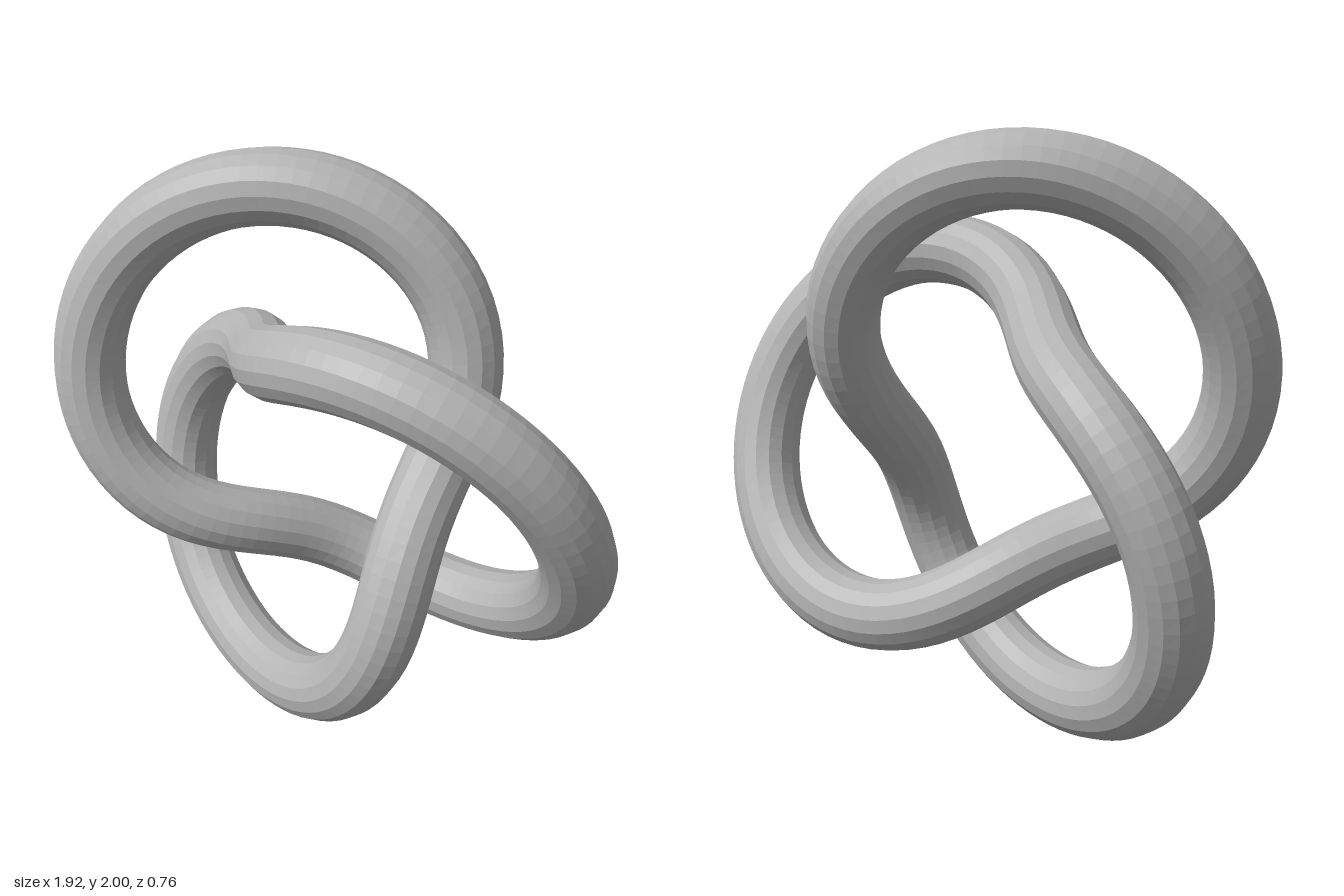
import * as THREE from 'three';

const RING = 0.665;   // radius of the guiding torus
const SWING = 0.266;  // how far the strand swings around it
const TUBE = 0.118;   // strand thickness

// Trefoil path: two turns around the axis, three around the ring
class TrefoilCurve extends THREE.Curve {
  getPoint(t, target = new THREE.Vector3()) {
    const u = t * Math.PI * 4;
    const r = RING + SWING * Math.cos(1.5 * u);
    return target.set(r * Math.cos(u), r * Math.sin(u), SWING * Math.sin(1.5 * u));
  }
}

export function createModel() {
  const group = new THREE.Group();
  group.name = 'trefoilKnot';
  const grey = new THREE.MeshStandardMaterial({ color: 0xb4b4b4, flatShading: true });
  grey.name = 'grey';

  // One closed strand
  const geometry = new THREE.TubeGeometry(new TrefoilCurve(), 200, TUBE, 16, true);

  // Stand it on the ground and centre it
  geometry.computeBoundingBox();
  const box = geometry.boundingBox;
  const centre = box.getCenter(new THREE.Vector3());
  geometry.translate(-centre.x, -box.min.y, -centre.z);
  const strand = new THREE.Mesh(geometry, grey);
  strand.name = 'knotStrand';
  group.add(strand);
  return group;
}
